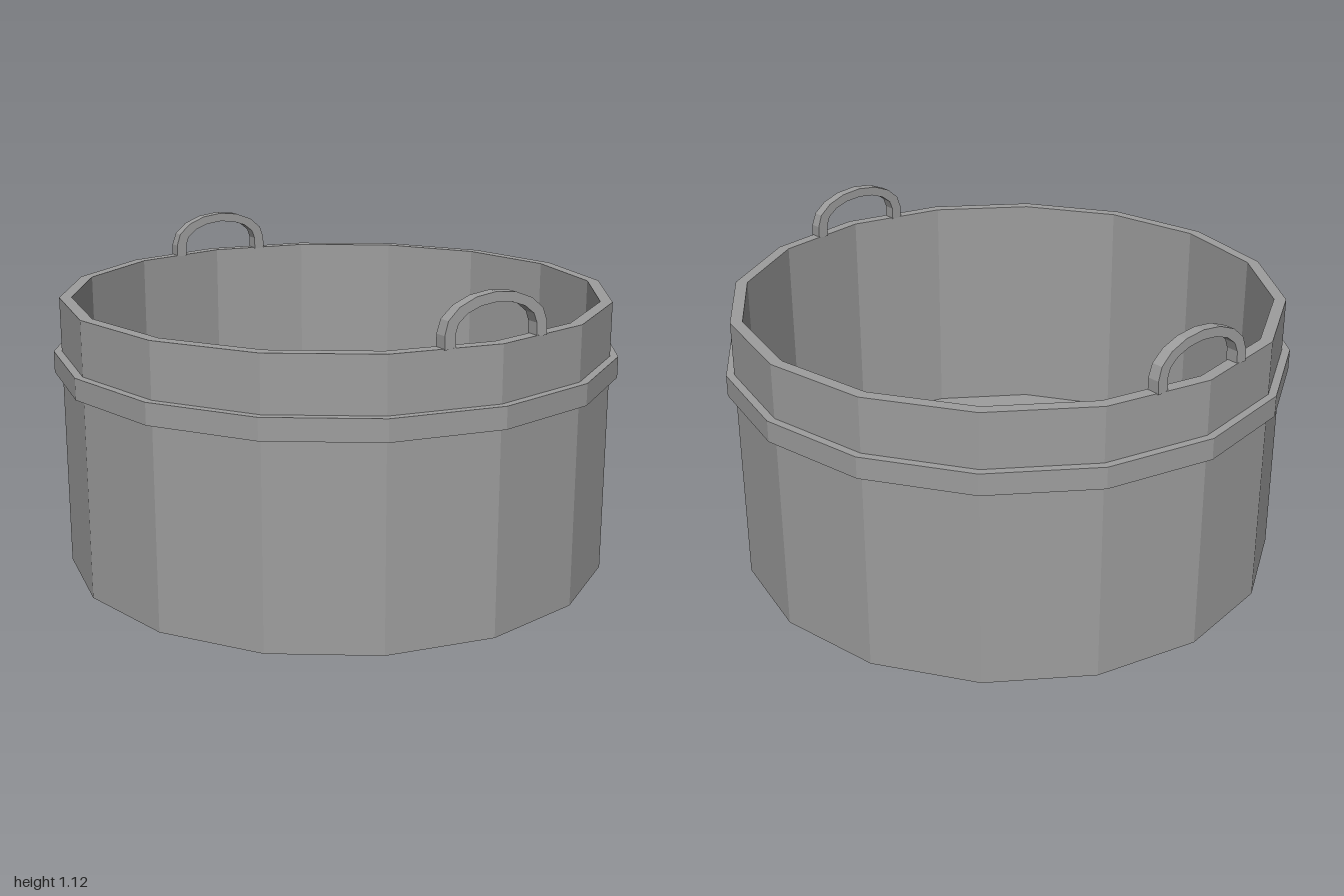
import * as THREE from 'three';

const SIDES = 16;

export function createModel() {
  const group = new THREE.Group();
  const material = new THREE.MeshStandardMaterial({ color: 0x9d9d9d, flatShading: true });

  const add = (name, geometry) => {
    const mesh = new THREE.Mesh(geometry, material);
    mesh.name = name;
    group.add(mesh);
    return mesh;
  };

  // Closed [radius, height] profile turned into a faceted ring
  const ring = (points) =>
    new THREE.LatheGeometry(points.map(([r, y]) => new THREE.Vector2(r, y)), SIDES);

  // Tub: thin wall above a thick floor with a wide opening
  add('tub', ring([
    [0.725, 0], [0.972, 0], [0.972, 0.97], [0.93, 0.97],
    [0.93, 0.12], [0.725, 0.12], [0.725, 0],
  ]));

  // Raised band around the outside
  add('band', ring([
    [0.965, 0.705], [1, 0.705], [1, 0.78], [0.965, 0.78], [0.965, 0.705],
  ]));

  // Handle: flat half-oval arch standing on the rim
  const arch = new THREE.Shape();
  const arcPoint = (rx, ry, a) => [rx * Math.cos(a), 1.01 + ry * Math.sin(a)];
  const steps = 8;
  arch.moveTo(0.195, 0.967);
  for (let i = 0; i <= steps; i++) arch.lineTo(...arcPoint(0.195, 0.114, (Math.PI * i) / steps));
  arch.lineTo(-0.195, 0.967);
  arch.lineTo(-0.155, 0.967);
  for (let i = steps; i >= 0; i--) arch.lineTo(...arcPoint(0.155, 0.082, (Math.PI * i) / steps));
  arch.lineTo(0.155, 0.967);
  arch.closePath();

  const handleGeometry = new THREE.ExtrudeGeometry(arch, { depth: 0.046, bevelEnabled: false });
  handleGeometry.translate(0, 0, 0.893);
  // Lean the outer face slightly inward towards the top
  const pos = handleGeometry.attributes.position;
  for (let i = 0; i < pos.count; i++) {
    if (pos.getZ(i) > 0.91) pos.setZ(i, pos.getZ(i) - 0.06 * (pos.getY(i) - 0.967));
  }
  handleGeometry.computeVertexNormals();

  add('frontHandle', handleGeometry);
  add('backHandle', handleGeometry).rotation.y = Math.PI;

  return group;
}
